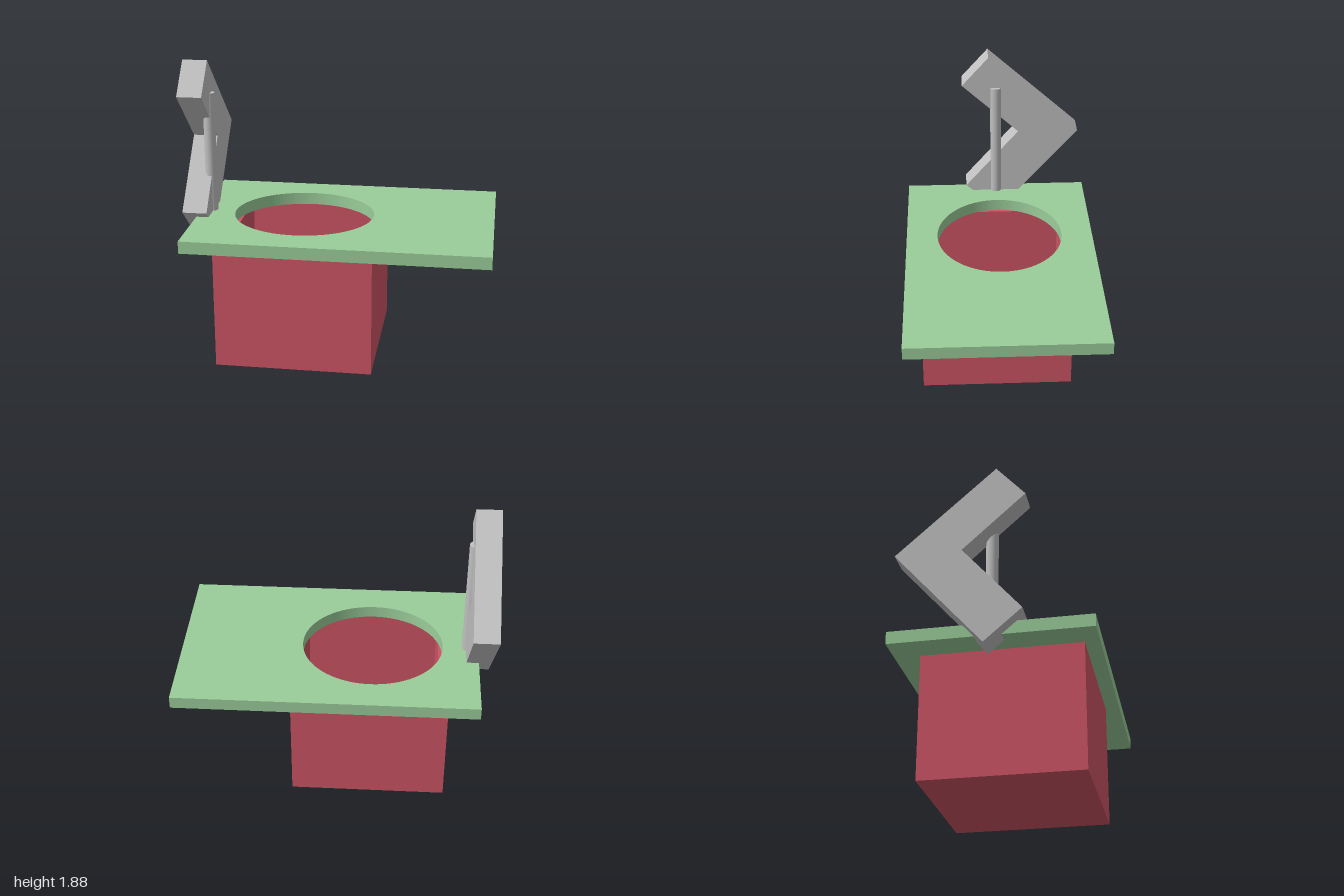
import * as THREE from 'three';

const red = new THREE.MeshStandardMaterial({ color: 0xcc5464 });
red.name = 'red';
const green = new THREE.MeshStandardMaterial({ color: 0x9acc9a });
green.name = 'green';
const grey = new THREE.MeshStandardMaterial({ color: 0xc0c0c0 });
grey.name = 'grey';

const polygon = (points) => points.map(([x, y]) => new THREE.Vector2(x, y));

// Rectangle on the ground plan; shape y is -z
const rectangle = (x0, x1, z0, z1) => polygon([[x0, -z1], [x1, -z1], [x1, -z0], [x0, -z0]]);

// Ground plan raised from y0 to y1
function raise(shape, y0, y1) {
  return new THREE.ExtrudeGeometry(shape, { depth: y1 - y0, bevelEnabled: false, curveSegments: 64 })
    .rotateX(-Math.PI / 2)
    .translate(0, y0, 0);
}

function addMesh(parent, name, geometry, material) {
  const mesh = new THREE.Mesh(geometry, material);
  mesh.name = name;
  parent.add(mesh);
  return mesh;
}

export function createModel() {
  const model = new THREE.Group();
  model.name = 'lidded bin with bent handle';

  // Hollow bin: four walls and a floor
  const bin = new THREE.Group();
  bin.name = 'bin';
  const walls = new THREE.Shape(rectangle(-0.73, 0.27, -0.46, 0.53));
  walls.holes.push(new THREE.Path(rectangle(-0.665, 0.22, -0.425, 0.485)));
  addMesh(bin, 'binWalls', raise(walls, 0, 0.79), red);
  const floor = new THREE.Shape(rectangle(-0.73, 0.27, -0.46, 0.53));
  addMesh(bin, 'binFloor', raise(floor, 0, 0.06), red);
  model.add(bin);

  // Top plate with an oval opening
  const plate = new THREE.Shape(rectangle(-0.92, 1, -0.62, 0.62));
  const opening = new THREE.Path();
  opening.absellipse(-0.235, 0, 0.455, 0.415, 0, Math.PI * 2, true);
  plate.holes.push(opening);
  addMesh(model, 'topPlate', raise(plate, 0.79, 0.87), green);

  // Bent handle: side profile as (-z, y), extruded along x
  const bend = new THREE.Shape(polygon([
    [-0.05, 1.88], [-0.23, 1.68], [0.155, 1.33], [-0.21, 0.91], [0.02, 0.71], [0.565, 1.33],
  ]));
  const handle = new THREE.ExtrudeGeometry(bend, { depth: 0.16, bevelEnabled: false })
    .rotateY(Math.PI / 2)
    .translate(-1, 0, 0);
  addMesh(model, 'bentHandle', handle, grey);

  // Upright rod half sunk into the handle
  const rod = new THREE.CylinderGeometry(0.038, 0.038, 0.85, 32);
  addMesh(model, 'uprightRod', rod, grey).position.set(-0.852, 1.235, 0);

  return model;
}
